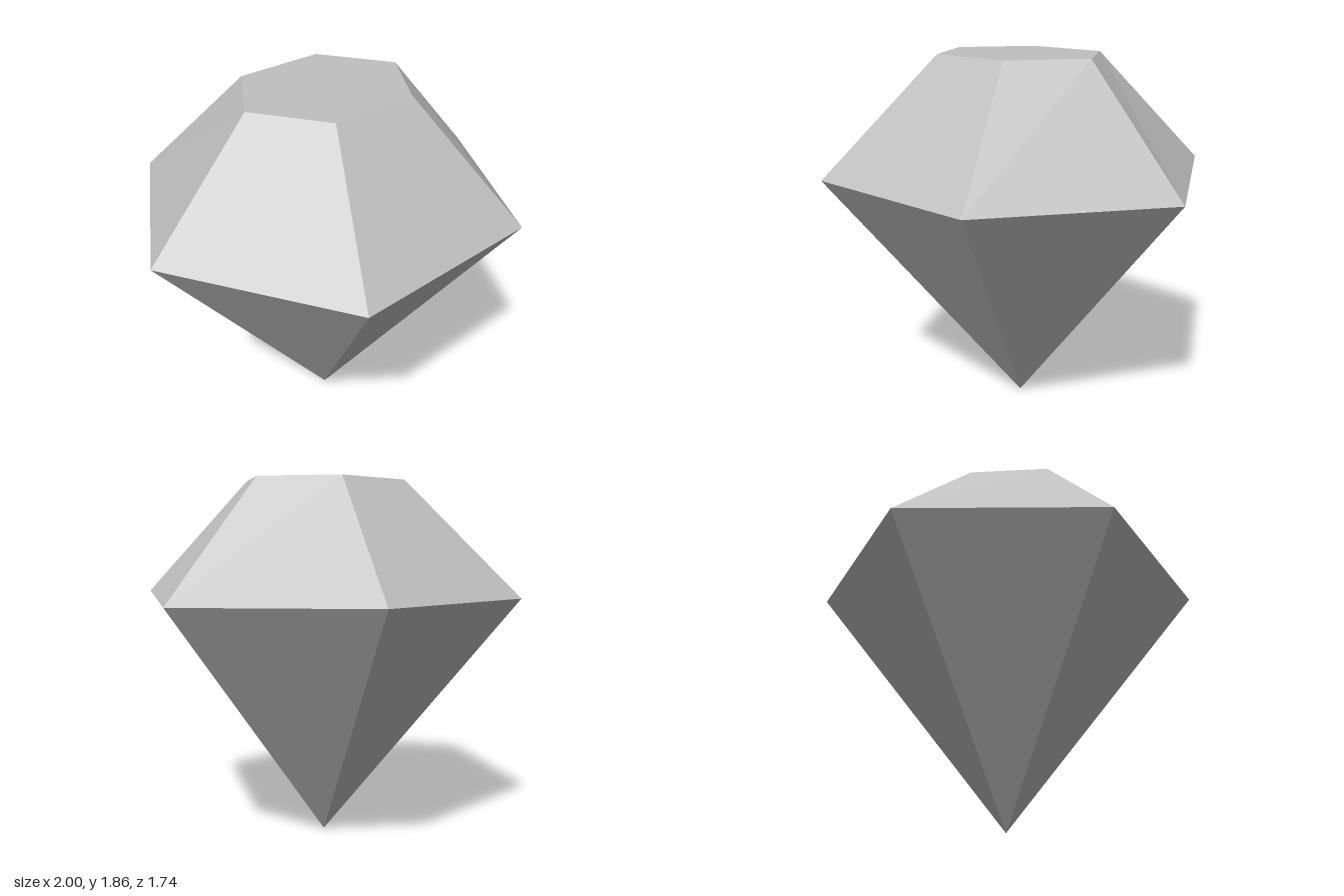
import * as THREE from 'three';

// Hexagonal outlines, listed from +x towards +z
const girdle = [
  [1, 1.265, 0], [0.5, 1.28, 0.845], [-0.5, 1.27, 0.865],
  [-1, 1.265, 0], [-0.5, 1.27, -0.87], [0.5, 1.28, -0.85],
];
const tableEdge = [
  [0.455, 0], [0.228, 0.34], [-0.228, 0.342],
  [-0.455, 0], [-0.23, -0.342], [0.228, -0.34],
].map(([x, z]) => [x, 1.855, z]);
const tip = [0, 0, 0];
const tableCentre = [0, 1.855, 0];

export function createModel() {
  const gem = new THREE.Group();
  gem.name = 'gem';
  const stone = new THREE.MeshStandardMaterial({ color: 0xc0c0c0 });
  stone.name = 'grey stone';

  // Builds a faceted part by joining each pair of neighbouring corners
  function addFacets(name, facet) {
    const points = [];
    for (let i = 0; i < 6; i++) points.push(...facet(i, (i + 1) % 6));
    const geometry = new THREE.BufferGeometry();
    geometry.setAttribute('position', new THREE.Float32BufferAttribute(points.flat(), 3));
    geometry.computeVertexNormals();
    const mesh = new THREE.Mesh(geometry, stone);
    mesh.name = name;
    gem.add(mesh);
  }

  // Lower point, sloping upper facets and flat top
  addFacets('pavilion', (i, j) => [tip, girdle[i], girdle[j]]);
  addFacets('crown', (i, j) => [
    girdle[j], girdle[i], tableEdge[i],
    girdle[j], tableEdge[i], tableEdge[j],
  ]);
  addFacets('table', (i, j) => [tableCentre, tableEdge[j], tableEdge[i]]);

  return gem;
}
